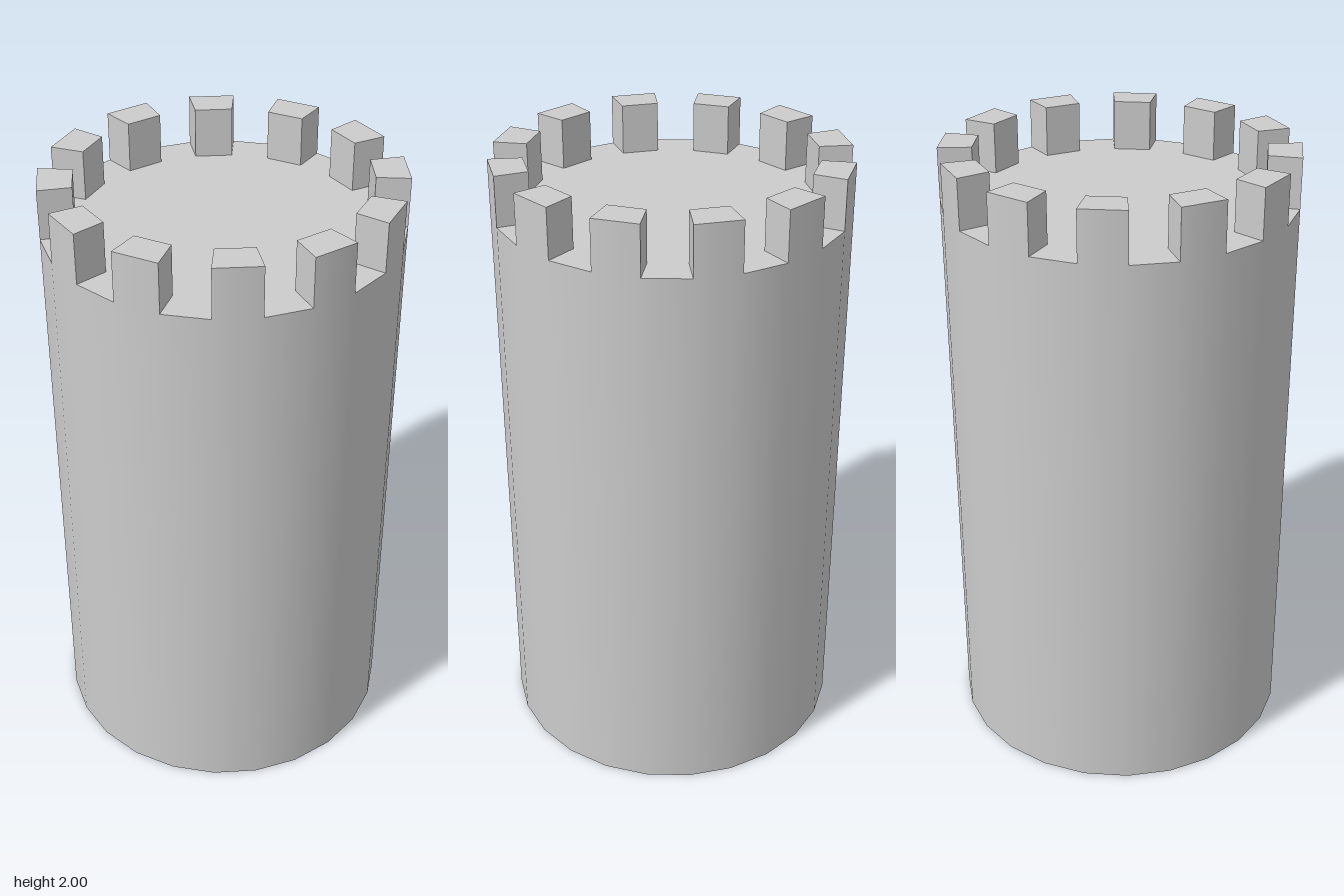
import * as THREE from 'three';

const SIDES = 24;
const STEP = (Math.PI * 2) / SIDES;
const OUTER = 0.553, INNER = 0.448;
const BODY_TOP = 1.84, HEIGHT = 2;

// Block over one facet of the tower, with radial sides
function merlonGeometry() {
  const at = (r, a) => new THREE.Vector2(r * Math.cos(a), r * Math.sin(a));
  const shape = new THREE.Shape([at(INNER, 0), at(OUTER, 0), at(OUTER, STEP), at(INNER, STEP)]);
  const geo = new THREE.ExtrudeGeometry(shape, { depth: HEIGHT - BODY_TOP, bevelEnabled: false });
  geo.rotateX(-Math.PI / 2);

  // Outer face is shaded smoothly, continuing the round wall
  const { position, normal } = geo.attributes;
  const out = new THREE.Vector3(Math.cos(STEP / 2), 0, -Math.sin(STEP / 2));
  const v = new THREE.Vector3();
  for (let i = 0; i < position.count; i++) {
    if (v.fromBufferAttribute(normal, i).dot(out) > 0.99) {
      v.fromBufferAttribute(position, i).setY(0).normalize();
      normal.setXYZ(i, v.x, v.y, v.z);
    }
  }
  return geo;
}

export function createModel() {
  const group = new THREE.Group();
  group.name = 'tower';
  const material = new THREE.MeshStandardMaterial({ color: 0xcccccc });

  // Round tower body with roof and base
  const body = new THREE.Mesh(new THREE.CylinderGeometry(OUTER, OUTER, BODY_TOP, SIDES), material);
  body.name = 'towerBody';
  body.position.y = BODY_TOP / 2;
  group.add(body);

  // Battlements: a merlon on every second facet
  const battlements = new THREE.Group();
  battlements.name = 'battlements';
  battlements.position.y = BODY_TOP;
  const geo = merlonGeometry();
  for (let i = 0; i < SIDES / 2; i++) {
    const merlon = new THREE.Mesh(geo, material);
    merlon.name = `merlon${i + 1}`;
    merlon.rotation.y = i * 2 * STEP;
    battlements.add(merlon);
  }
  group.add(battlements);
  return group;
}
